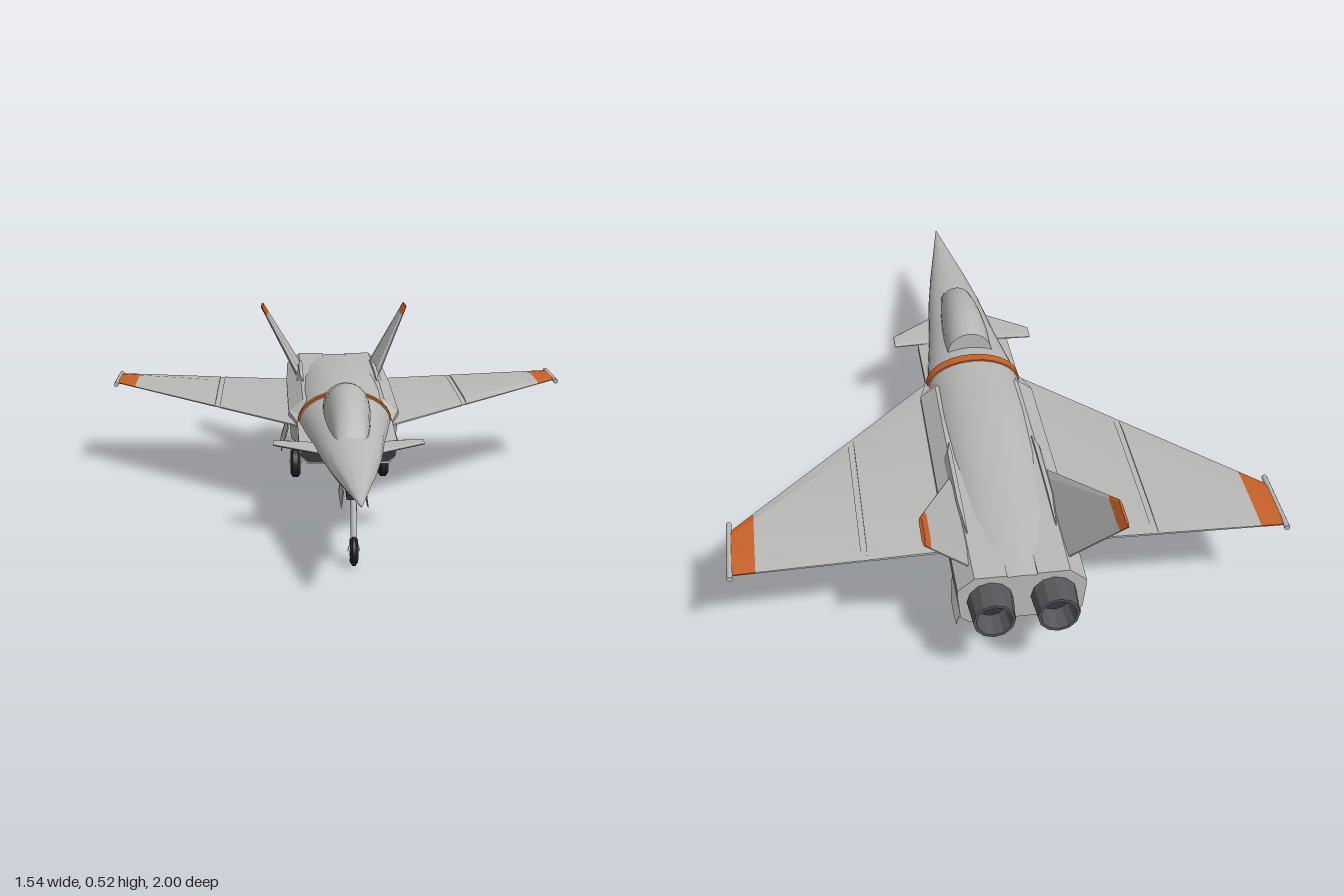
import * as THREE from 'three';
import { toCreasedNormals } from 'three/addons/utils/BufferGeometryUtils.js';

const mat = (name, color, extra = {}) => Object.assign(new THREE.MeshStandardMaterial({ color, ...extra }), { name });
const V = (p) => new THREE.Vector3(...p);

// Closed skin through matching rings of [x, y, z] points, capped at both ends
function loft(rings, crease = 0.6) {
  const n = rings[0].length, pos = rings.flat(2), idx = [];
  for (let i = 0; i < rings.length - 1; i++) for (let j = 0; j < n; j++) {
    const a = i * n + j, b = i * n + (j + 1) % n;
    idx.push(a, a + n, b, b, a + n, b + n);
  }
  [0, rings.length - 1].forEach((r, e) => {
    const c = pos.length / 3;
    for (let k = 0; k < 3; k++) pos.push(rings[r].reduce((s, p) => s + p[k], 0) / n);
    for (let j = 0; j < n; j++) {
      const a = r * n + j, b = r * n + (j + 1) % n;
      idx.push(...(e ? [c, b, a] : [c, a, b]));
    }
  });
  // turn the faces outward if the rings ran the other way
  const at = (i) => new THREE.Vector3(pos[i * 3], pos[i * 3 + 1], pos[i * 3 + 2]);
  const o = at(n * rings.length);
  let vol = 0;
  for (let i = 0; i < idx.length; i += 3) {
    vol += at(idx[i]).sub(o).dot(at(idx[i + 1]).sub(o).cross(at(idx[i + 2]).sub(o)));
  }
  if (vol < 0) idx.reverse();
  const g = new THREE.BufferGeometry();
  g.setAttribute('position', new THREE.Float32BufferAttribute(pos, 3));
  g.setIndex(idx);
  return toCreasedNormals(g, crease);
}

// Tapered surface section, cut from a root-to-tip panel between span fractions f0 and f1
function panel([rootLE, rootTE, tipLE, tipTE], tRoot, tTip, f0 = 0, f1 = 1, thin = 1) {
  const le = [V(rootLE), V(tipLE)], te = [V(rootTE), V(tipTE)];
  const normal = le[1].clone().sub(le[0]).cross(te[0].clone().sub(le[0])).normalize();
  return loft([f0, f1].map((f) => {
    const a = le[0].clone().lerp(le[1], f), b = te[0].clone().lerp(te[1], f);
    const t = (tRoot + (tTip - tRoot) * f) / 2 * thin;
    return [[0, 0.2], [0.12, 1], [0.8, 1], [1, 0.3], [1, -0.3], [0.8, -1], [0.12, -1], [0, -0.2]]
      .map(([c, h]) => a.clone().lerp(b, c).addScaledVector(normal, h * t).toArray());
  }), 0.2);
}

// Fuselage section: domed top down to a chine, then a flat-bottomed keel
function bodyRing([z, w, chine, top, keelW, keel]) {
  const ring = [];
  for (let i = 0; i <= 14; i++) {
    const a = Math.PI * i / 14;
    ring.push([w * Math.cos(a), chine + (top - chine) * Math.sin(a), z]);
  }
  return [...ring, [-keelW, keel, z], [keelW, keel, z]];
}

export function createModel() {
  const grey = mat('airframe grey', 0xb9bab7);
  const orange = mat('marking orange', 0xc8622a);
  const metal = mat('nozzle metal', 0x55575a, { side: THREE.DoubleSide });
  const dark = mat('intake dark', 0x34363c);
  const rubber = mat('tyre black', 0x26262b);
  const gearGrey = mat('gear light grey', 0xc4c6c8);

  const root = new THREE.Group();
  root.name = 'jetAircraft';
  const add = (name, geo, m, x = 0, y = 0, z = 0, parent = root) => {
    const mesh = new THREE.Mesh(geo, m);
    mesh.name = name;
    mesh.position.set(x, y, z);
    parent.add(mesh);
    return mesh;
  };
  const rod = (name, a, b, r, m, parent) => add(name,
    new THREE.TubeGeometry(new THREE.LineCurve3(V(a), V(b)), 1, r, 10), m, 0, 0, 0, parent);

  // Fuselage: z, half width, chine height, top, keel half width, keel height
  const body = [
    [1, 0.002, 0.27, 0.272, 0.001, 0.268], [0.85, 0.028, 0.27, 0.289, 0.012, 0.252],
    [0.68, 0.058, 0.272, 0.311, 0.028, 0.232], [0.5, 0.085, 0.274, 0.332, 0.045, 0.215],
    [0.28, 0.108, 0.277, 0.35, 0.06, 0.207], [0.05, 0.14, 0.28, 0.372, 0.1, 0.2],
    [-0.2, 0.142, 0.285, 0.381, 0.1, 0.195], [-0.4, 0.142, 0.285, 0.376, 0.1, 0.193],
    [-0.65, 0.138, 0.285, 0.36, 0.1, 0.19], [-0.92, 0.13, 0.28, 0.335, 0.09, 0.19],
  ];
  add('fuselage', loft(body.map(bodyRing)), grey);

  // Painted band wrapped over the spine
  const band = [];
  for (const z of [0.048, 0.016]) {
    band.push(bodyRing([z, 0.145, 0.282, 0.378, 0.1, 0.22]));
  }
  add('spineBand', loft(band), orange);

  // Canopy: z, half width, base, top
  const canopy = [
    [0.5, 0.042, 0.31, 0.328], [0.43, 0.052, 0.315, 0.383], [0.36, 0.06, 0.32, 0.408],
    [0.27, 0.067, 0.325, 0.428], [0.19, 0.071, 0.33, 0.432], [0.1, 0.07, 0.335, 0.417],
  ];
  add('canopy', loft(canopy.map(([z, w, b, t]) => {
    const ring = [];
    for (let i = 0; i <= 14; i++) {
      const a = Math.PI * i / 14;
      ring.push([w * Math.cos(a), b + (t - b) * Math.pow(Math.sin(a), 0.85), z]);
    }
    return ring;
  })), grey);

  // Nose gear bay
  add('noseGearBay', new THREE.BoxGeometry(0.045, 0.012, 0.2), dark, 0, 0.218, 0.58).rotation.x = 0.09;

  for (const s of [1, -1]) {
    const side = s > 0 ? 'left' : 'right';
    const mx = (pts) => pts.map(([x, y, z]) => [s * x, y, z]);
    const name = (n) => side + n;

    // Intake trunk along the fuselage, widening into the engine bay
    const trunk = [
      [0.28, 0.145, 0.272, 0.275, 0.12, 0.207], [0.05, 0.146, 0.285, 0.295, 0.135, 0.197],
      [-0.05, 0.172, 0.3, 0.335, 0.14, 0.192], [-0.5, 0.175, 0.305, 0.342, 0.14, 0.19],
      [-0.92, 0.172, 0.3, 0.338, 0.14, 0.186],
    ].map(([z, w, shoulder, top, lowW, low]) => mx([
      [0.04, low, z], [lowW, low, z], [w - 0.008, low + 0.02, z],
      [w, shoulder - 0.02, z], [w, shoulder, z], [w - 0.045, top, z], [0.04, top, z],
    ]));
    add(name('IntakeTrunk'), loft(trunk, 0.3), grey);
    add(name('IntakeMouth'), loft([0.284, 0.279].map((z) => mx([
      [0.045, 0.213, z], [0.118, 0.213, z], [0.139, 0.232, z], [0.138, 0.267, z], [0.045, 0.267, z],
    ])), 0.3), dark);

    // Slim fairing beside the fin root
    add(name('FinRootFairing'), loft([[-0.34, 0.001], [-0.4, 0.012], [-0.62, 0.012], [-0.74, 0.002]]
      .map(([z, r]) => mx([[0.12, 0.34 - r, z], [0.12 + 2 * r, 0.34 - r, z], [0.12 + r, 0.342 + r, z], [0.12, 0.342 + r, z]])), 0.3), grey);

    // Wing: inner panel, hinge gap, outer panel, painted tip
    const wing = mx([[0.12, 0.272, 0.08], [0.12, 0.272, -0.73], [0.755, 0.293, -0.59], [0.755, 0.293, -0.77]]);
    const cut = (x) => (x - 0.12) / 0.635;
    for (const [part, x0, x1, thin, m] of [
      ['InnerWing', 0.12, 0.392, 1, grey], ['WingFoldJoint', 0.392, 0.408, 0.5, grey],
      ['OuterWing', 0.408, 0.692, 1, grey], ['WingTip', 0.692, 0.755, 1, orange],
    ]) add(name(part), panel(wing, 0.024, 0.012, cut(x0), cut(x1), thin), m);
    const rail = add(name('WingTipRail'), new THREE.CylinderGeometry(0.008, 0.008, 0.225, 10), grey, s * 0.76, 0.293, -0.672);
    rail.rotation.x = Math.PI / 2;

    // Canard
    add(name('Canard'), panel(mx([[0.07, 0.272, 0.44], [0.07, 0.272, 0.28], [0.22, 0.276, 0.325], [0.22, 0.276, 0.268]]), 0.014, 0.008), grey);

    // Canted tail fin with painted tip
    const fin = mx([[0.125, 0.315, -0.45], [0.125, 0.315, -0.85], [0.26, 0.517, -0.865], [0.26, 0.517, -0.975]]);
    add(name('TailFin'), panel(fin, 0.018, 0.01, 0, 0.88), grey);
    add(name('TailFinTip'), panel(fin, 0.018, 0.01, 0.88, 1), orange);

    // Ventral fin
    add(name('VentralFin'), panel(mx([[0.137, 0.2, -0.57], [0.137, 0.2, -0.84], [0.17, 0.145, -0.77], [0.17, 0.145, -0.88]]), 0.01, 0.007), grey);

    // Engine nozzle: faceted hollow can with a dark core
    const can = [[0.05, 0], [0.062, 0.02], [0.056, 0.1], [0.048, 0.1], [0.04, 0.03], [0, 0.03]]
      .map(([r, h]) => new THREE.Vector2(r, h));
    const nozzle = add(name('Nozzle'), toCreasedNormals(new THREE.LatheGeometry(can, 12), 0.2), metal, s * 0.085, 0.258, -0.9);
    nozzle.rotation.x = -Math.PI / 2;
    const core = add(name('NozzleCore'), new THREE.CylinderGeometry(0.039, 0.039, 0.004, 12), dark, s * 0.085, 0.258, -0.934);
    core.rotation.x = Math.PI / 2;

    // Gear doors
    add(name('MainGearDoor'), panel(mx([[0.172, 0.2, -0.245], [0.172, 0.2, -0.5], [0.195, 0.125, -0.245], [0.195, 0.125, -0.5]]), 0.005, 0.005), grey);
    add(name('NoseGearDoor'), panel(mx([[0.03, 0.225, 0.68], [0.03, 0.225, 0.482], [0.036, 0.18, 0.68], [0.036, 0.18, 0.482]]), 0.004, 0.004), grey);
  }

  // Landing gear: strut, brace, tyre and hub
  const gear = (name, x, z, r, w, top, lean) => {
    const g = new THREE.Group();
    g.name = name;
    root.add(g);
    const out = x ? Math.sign(x) : 1, sx = x - out * (w / 2 + 0.006) * (x ? 0.6 : 0);
    rod('strut', [sx, top, z + lean], [sx, r * 1.6, z], 0.009, gearGrey, g);
    for (const e of [-1, 1]) rod('fork', [sx, r * 2.2, z], [x + e * (w / 2 + 0.003), r, z], 0.004, gearGrey, g);
    rod('brace', [sx, top, z + lean - 0.06], [sx, (top + r) / 2 + 0.02, z + lean / 2], 0.005, gearGrey, g);
    const b = r * 0.25, h = w / 2;
    const tyre = [[r * 0.55, -h], [r - b, -h], [r, -h + b * 0.7], [r, h - b * 0.7], [r - b, h], [r * 0.55, h]]
      .map((p) => new THREE.Vector2(...p));
    add('tyre', toCreasedNormals(new THREE.LatheGeometry(tyre, 20), 0.5), rubber, x, r, z, g).rotation.z = Math.PI / 2;
    add('hub', new THREE.CylinderGeometry(r * 0.56, r * 0.56, w * 0.96, 16), gearGrey, x, r, z, g).rotation.z = Math.PI / 2;
  };
  gear('noseGear', 0, 0.618, 0.042, 0.022, 0.225, -0.03);
  gear('leftMainGear', 0.148, -0.402, 0.05, 0.034, 0.21, 0.005);
  gear('rightMainGear', -0.148, -0.402, 0.05, 0.034, 0.21, 0.005);
  return root;
}
